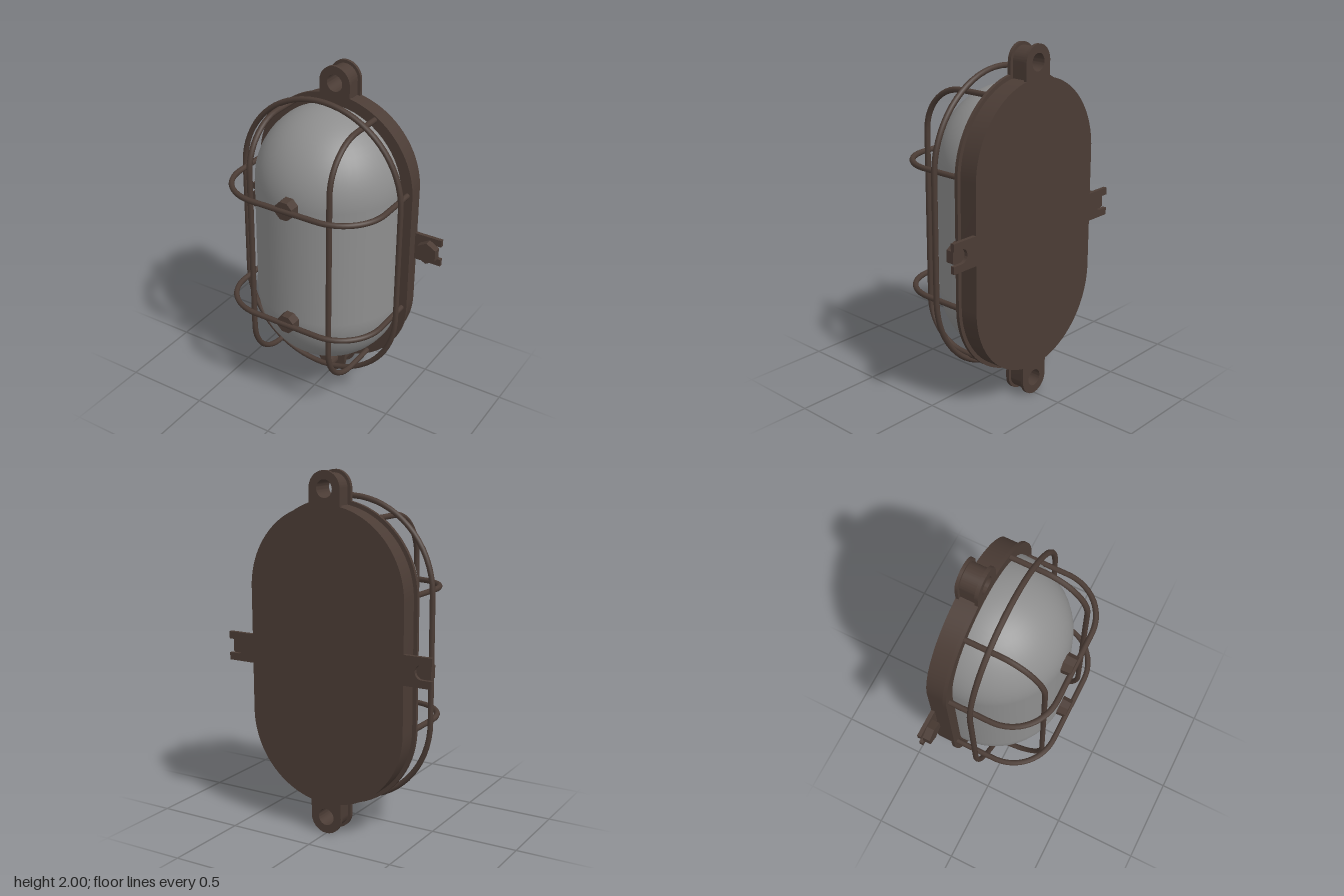
import * as THREE from 'three';
import { toCreasedNormals } from 'three/addons/utils/BufferGeometryUtils.js';

const bronze = new THREE.MeshStandardMaterial({ color: 0x4b3c35 });
bronze.name = 'dark bronze';
const frosted = new THREE.MeshStandardMaterial({ color: 0x8e8e8e });
frosted.name = 'frosted glass';

const MID = 1;        // height of the lamp's centre
const HALF = 0.35;    // half length of the straight sides
const WIRE = 0.016;   // radius of the cage wire

export function createModel() {
  const group = new THREE.Group();

  const add = (name, geometry, material = bronze) => {
    const mesh = new THREE.Mesh(geometry, material);
    mesh.name = name;
    group.add(mesh);
    return mesh;
  };

  // Outline with straight sides and round ends
  const stadium = (r) => {
    const s = new THREE.Shape();
    s.absarc(0, HALF, r, 0, Math.PI, false);
    s.absarc(0, -HALF, r, Math.PI, Math.PI * 2, false);
    s.closePath();
    return s;
  };

  // Flat plate between two depths
  const plate = (name, shape, z0, z1, y = MID) => {
    const geo = new THREE.ExtrudeGeometry(shape, { depth: z1 - z0, bevelEnabled: false, curveSegments: 24 });
    const mesh = add(name, toCreasedNormals(geo, Math.PI / 6));
    mesh.position.set(0, y, z0);
    return mesh;
  };

  // Housing: solid body and front flange
  plate('housingBody', stadium(0.475), -0.322, -0.21);
  plate('frontFlange', stadium(0.497), -0.215, -0.195);

  // Mounting lugs: a narrower core between two wider faces
  const lug = (r) => {
    const s = new THREE.Shape();
    s.moveTo(-r, -0.13);
    s.lineTo(r, -0.13);
    s.lineTo(r, 0);
    s.absarc(0, 0, r, 0, Math.PI, false);
    s.closePath();
    const hole = new THREE.Path();
    hole.absarc(0, 0, 0.048, 0, Math.PI * 2, true);
    s.holes.push(hole);
    return s;
  };
  for (const side of [1, -1]) {
    const label = side > 0 ? 'top' : 'bottom';
    for (const [part, r, z0, z1] of [
      ['LugBack', 0.095, -0.322, -0.305],
      ['LugCore', 0.078, -0.31, -0.21],
      ['LugFront', 0.095, -0.215, -0.195],
    ]) {
      const mesh = plate(label + part, lug(r), z0, z1, MID + side * 0.905);
      if (side < 0) {
        mesh.geometry.rotateZ(Math.PI);
      }
    }
  }

  // Slotted side tabs with hexagonal bolts
  const tab = new THREE.Shape();
  tab.moveTo(0.45, -0.082);
  tab.lineTo(0.637, -0.082);
  tab.lineTo(0.637, -0.04);
  tab.lineTo(0.58, -0.04);
  tab.absarc(0.58, 0, 0.04, -Math.PI / 2, Math.PI / 2, true);
  tab.lineTo(0.637, 0.04);
  tab.lineTo(0.637, 0.082);
  tab.lineTo(0.45, 0.082);
  tab.closePath();
  for (const side of [1, -1]) {
    const label = side > 0 ? 'left' : 'right';
    const mesh = plate(label + 'Tab', tab, -0.322, -0.3);
    if (side < 0) {
      mesh.geometry.rotateZ(Math.PI);
    }
    const bolt = new THREE.CylinderGeometry(0.066, 0.066, 0.045, 6);
    bolt.rotateX(Math.PI / 2);
    add(label + 'Bolt', toCreasedNormals(bolt, 0.3)).position.set(side * 0.567, MID, -0.279);
  }

  // Glass dome: front half of a capsule, flattened inside the housing
  const dome = new THREE.CapsuleGeometry(0.43, 0.71, 16, 48);
  const pos = dome.attributes.position;
  for (let i = 0; i < pos.count; i++) {
    pos.setZ(i, Math.max(pos.getZ(i), -0.04));
  }
  add('glassDome', dome, frosted).position.set(0, MID, -0.18);

  // Cage wires
  const wire = (name, points, closed = false) => {
    const path = new THREE.CatmullRomCurve3(points, closed);
    return add(name, new THREE.TubeGeometry(path, closed ? 96 : 64, WIRE, 8, closed));
  };

  // Hoop: straight legs from the flange, rounded corners, straight front
  const hoop = (half, front, r, toPoint) => {
    const s = new THREE.Path();
    s.moveTo(half, -0.2);
    s.lineTo(half, front - r);
    s.absarc(half - r, front - r, r, 0, Math.PI / 2, false);
    s.lineTo(-half + r, front);
    s.absarc(-half + r, front - r, r, Math.PI / 2, Math.PI, false);
    s.lineTo(-half, -0.2);
    return s.getSpacedPoints(60).map(toPoint);
  };
  for (const side of [1, -1]) {
    wire(side > 0 ? 'leftUprightWire' : 'rightUprightWire',
      hoop(0.755, 0.25, 0.26, (p) => new THREE.Vector3(side * 0.25, MID + p.x, p.y)));

    const y = MID + side * 0.363;
    const label = side > 0 ? 'upper' : 'lower';
    wire(label + 'CrossWire',
      hoop(0.465, 0.303, 0.26, (p) => new THREE.Vector3(p.x, y, p.y)));

    // Stud between the glass and the cross wire
    const stud = new THREE.CylinderGeometry(0.056, 0.061, 0.1, 8);
    stud.rotateY(Math.PI / 8);
    stud.rotateX(Math.PI / 2);
    add(label + 'Stud', toCreasedNormals(stud, 0.3)).position.set(0, y, 0.255);
  }

  // Ring wire around the cage
  const ring = stadium(0.503).getSpacedPoints(80).slice(0, -1);
  wire('ringWire', ring.map((p) => new THREE.Vector3(p.x, MID + p.y, -0.055)), true);

  return group;
}
